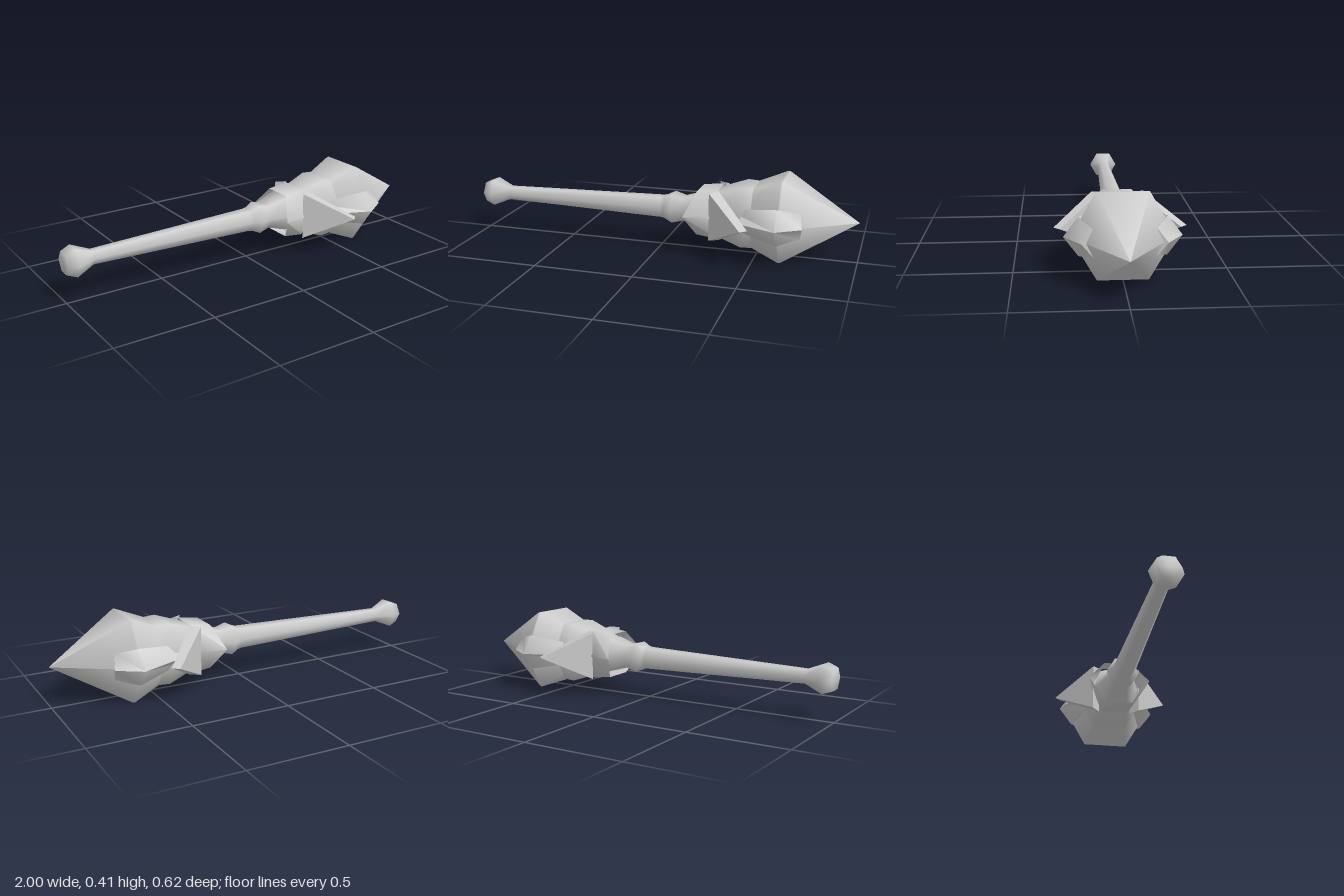
import * as THREE from 'three';
import { toCreasedNormals } from 'three/addons/utils/BufferGeometryUtils.js';

const metal = new THREE.MeshStandardMaterial({ color: 0xcccccc, side: THREE.DoubleSide });
metal.name = 'grey metal';

// Six-sided turned part along x; the profile lists [x, corner radius]
function turned(name, profile) {
  const geo = new THREE.LatheGeometry(profile.map(([x, r]) => new THREE.Vector2(r, x)), 6);
  geo.rotateZ(-Math.PI / 2);
  const mesh = new THREE.Mesh(geo, metal);
  mesh.name = name;
  return mesh;
}

// Skin over matching cross-sections, optionally capped at both ends
function loft(name, rings, capped, crease) {
  const n = rings[0].length, index = [];
  for (let i = 0; i < rings.length - 1; i++) {
    for (let j = 0; j < n; j++) {
      const k = (j + 1) % n;
      const a = i * n + j, b = i * n + k, c = b + n, d = a + n;
      index.push(a, b, c, a, c, d);
    }
  }
  if (capped) {
    const e = (rings.length - 1) * n;
    for (let j = 1; j < n - 1; j++) index.push(0, j + 1, j, e, e + j, e + j + 1);
  }
  let geo = new THREE.BufferGeometry();
  geo.setAttribute('position', new THREE.Float32BufferAttribute(rings.flat(2), 3));
  geo.setIndex(index);
  geo = toCreasedNormals(geo, crease);
  const mesh = new THREE.Mesh(geo, metal);
  mesh.name = name;
  return mesh;
}

// Hexagonal collar section: side corners and upper/lower corners placed separately
function collarRing(sideX, sideZ, topX, topY, topZ) {
  return [
    [topX, topY, topZ], [sideX, 0, sideZ], [topX, -topY, topZ],
    [topX, -topY, -topZ], [sideX, 0, -sideZ], [topX, topY, -topZ],
  ];
}

// Kite section of a side plate, its inner point buried in the head
function plateRing(cornerX, cornerZ, edgeX, edgeY, edgeZ) {
  return [[edgeX, edgeY, edgeZ], [cornerX, 0, cornerZ], [edgeX, -edgeY, edgeZ], [edgeX, 0, edgeZ - 0.08]];
}

export function createModel() {
  const group = new THREE.Group();
  group.name = 'mace';
  const body = new THREE.Group();
  body.name = 'body';
  body.position.y = 0.206;
  group.add(body);

  // Handle with pommel and neck ring
  body.add(turned('handle', [
    [-1, 0], [-1, 0.058], [-0.95, 0.079], [-0.86, 0.038], [0, 0.06],
    [0.02, 0.064], [0.06, 0.085], [0.12, 0.068], [0.22, 0.1],
  ]));

  // Cup that holds the head
  body.add(turned('cup', [[0.18, 0.075], [0.29, 0.126], [0.43, 0.178], [0.49, 0.174]]));

  // Pointed head
  body.add(turned('head', [[0.3, 0.09], [0.625, 0.236], [0.635, 0.236], [1, 0]]));

  // Collar with swept-back side points
  body.add(loft('collar', [
    collarRing(0.15, 0.162, 0.2, 0.112, 0.075),
    collarRing(0.285, 0.13, 0.31, 0.126, 0.073),
  ], false, 1.2));

  // Flared wing and raised plate on each side
  for (const side of ['left', 'right']) {
    const half = new THREE.Group();
    half.name = side + 'Side';
    if (side === 'right') half.rotation.x = Math.PI;
    half.add(loft('wing', [
      [[0.5, 0, 0.28], [0.315, 0.128, 0.085], [0.315, -0.128, 0.085]],
      [[0.47, 0, 0.31], [0.275, 0.122, 0.125], [0.275, -0.122, 0.125]],
    ], true, 0.5));
    half.add(loft('sidePlate', [
      plateRing(0.36, 0.155, 0.36, 0.045, 0.105),
      plateRing(0.625, 0.268, 0.625, 0.091, 0.2),
      plateRing(0.745, 0.19, 0.73, 0.064, 0.14),
    ], true, 1.2));
    body.add(half);
  }
  return group;
}
